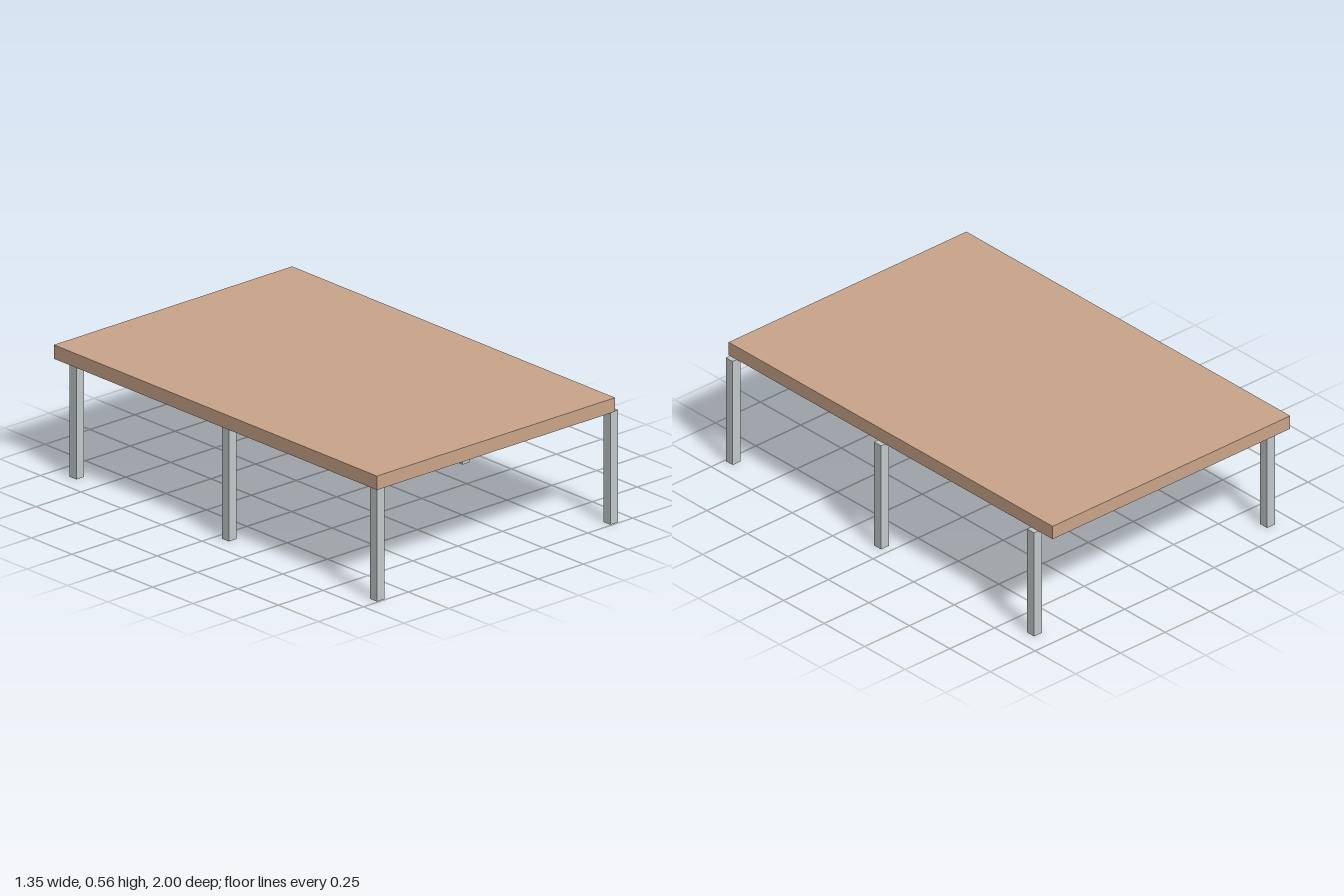
import * as THREE from 'three';

export function createModel() {
  const group = new THREE.Group();
  const wood = new THREE.MeshStandardMaterial({ color: 0xcaa58a });
  wood.name = 'wood';
  const metal = new THREE.MeshStandardMaterial({ color: 0xc3caca });
  metal.name = 'paleMetal';

  const addBox = (name, material, size, position) => {
    const mesh = new THREE.Mesh(new THREE.BoxGeometry(...size), material);
    mesh.name = name;
    mesh.position.set(...position);
    group.add(mesh);
  };

  // Slab top, offset slightly towards -x
  const legHeight = 0.5, topThickness = 0.062;
  addBox('tableTop', wood, [1.327, topThickness, 2], [-0.0115, legHeight + topThickness / 2, 0]);

  // Three square legs along each long side
  const legWidth = 0.043;
  for (const [side, x] of [['left', 0.653], ['right', -0.648]]) {
    for (const [place, z] of [['Front', 0.972], ['Middle', 0.056], ['Back', -0.889]]) {
      addBox(`${side}${place}Leg`, metal, [legWidth, legHeight, legWidth], [x, legHeight / 2, z]);
    }
  }
  return group;
}
